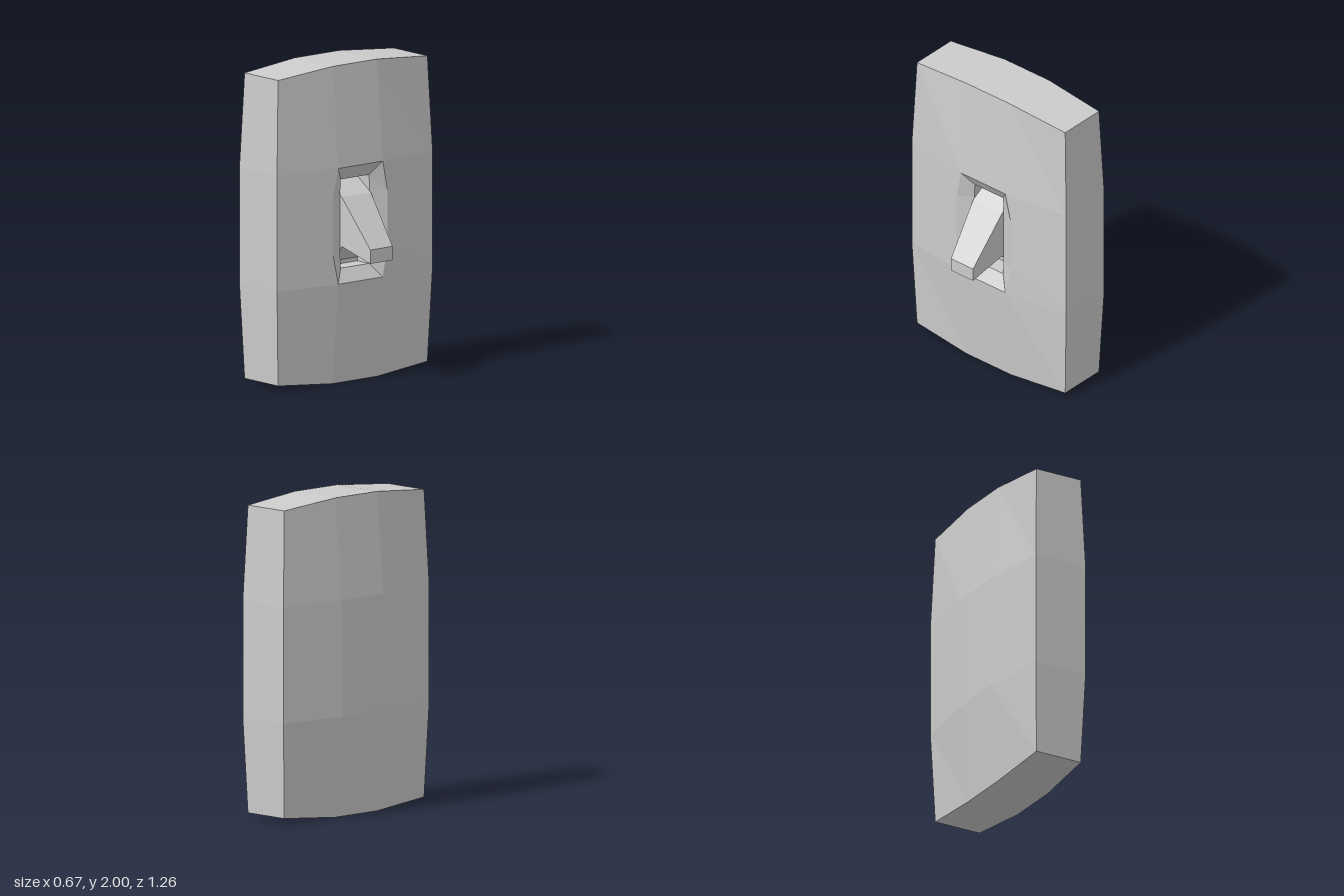
import * as THREE from 'three';

const material = () => new THREE.MeshStandardMaterial({ color: 0xcccccc, flatShading: true });

// Builds a flat-shaded mesh from polygons, each fanned from its first corner
function polyMesh(name, polygons) {
  const pos = [];
  for (const p of polygons)
    for (let k = 1; k < p.length - 1; k++) pos.push(...p[0], ...p[k], ...p[k + 1]);
  const geo = new THREE.BufferGeometry();
  geo.setAttribute('position', new THREE.Float32BufferAttribute(pos, 3));
  geo.computeVertexNormals();
  const mesh = new THREE.Mesh(geo, material());
  mesh.name = name;
  return mesh;
}

// Quads joining two closed loops of equal length
const strip = (a, b) => a.map((p, k) => {
  const n = (k + 1) % a.length;
  return [p, a[n], b[n], b[k]];
});

// Point on the bulging 4 x 4 grid; i runs up, j along z, side is +1 or -1 in x
function gridPoint(i, j, side) {
  const edgeI = i % 3 === 0, edgeJ = j % 3 === 0;
  const y = edgeI ? (edgeJ ? 0.963 : 1) : 0.365;
  const z = edgeJ ? (edgeI ? 0.605 : 0.63) : 0.18;
  const half = edgeI && edgeJ ? 0.16 : edgeI || edgeJ ? 0.18 : 0.235;
  return [-0.1 + side * half, 1 + (i < 2 ? -y : y), j < 2 ? -z : z];
}

// Eight-sided loop with bowed long sides
function holeLoop(x, xMid, yEnd, zEnd, yMid, zMid) {
  return [[-yEnd, -zEnd], [-yMid, -zMid], [yMid, -zMid], [yEnd, -zEnd],
    [yEnd, zEnd], [yMid, zMid], [-yMid, zMid], [-yEnd, zEnd]]
    .map(([y, z]) => [Math.abs(y) === yMid ? xMid : x, 1 + y, z]);
}

function createPlate() {
  const polys = [];
  const rim = holeLoop(0.135, 0.131, 0.365, 0.18, 0.18, 0.22);
  const throat = holeLoop(0.08, 0.08, 0.28, 0.115, 0.18, 0.12);
  const bottom = throat.map(([, y, z]) => [-0.03, y, z]);

  // Front and back panels, leaving the middle front cell open
  for (const side of [1, -1])
    for (let i = 0; i < 3; i++)
      for (let j = 0; j < 3; j++) {
        if (side === 1 && i === 1) continue;
        const q = [[i, j], [i + 1, j], [i + 1, j + 1], [i, j + 1]].map(([a, b]) => gridPoint(a, b, side));
        polys.push(side === 1 ? q : q.reverse());
      }

  // Panels beside the opening
  polys.push([gridPoint(1, 0, 1), gridPoint(2, 0, 1), rim[3], rim[2], rim[1], rim[0]]);
  polys.push([gridPoint(2, 3, 1), gridPoint(1, 3, 1), rim[7], rim[6], rim[5], rim[4]]);

  // Outer edge
  const border = [[0, 0], [1, 0], [2, 0], [3, 0], [3, 1], [3, 2], [3, 3], [2, 3], [1, 3], [0, 3], [0, 2], [0, 1]];
  const loop = (side) => border.map(([i, j]) => gridPoint(i, j, side));
  polys.push(...strip(loop(-1), loop(1)));

  // Bevel, walls and floor of the recess
  polys.push(...strip(rim, throat), ...strip(throat, bottom), bottom);
  return polyMesh('wallPlate', polys);
}

function createLever() {
  // Profile corners: x, y, half width
  const profile = [[-0.03, 1.26, 0.11], [0.095, 1.17, 0.118], [0.335, 0.87, 0.09],
    [0.335, 0.783, 0.09], [0.095, 0.858, 0.118], [-0.03, 0.745, 0.11]];
  const near = profile.map(([x, y, w]) => [x, y, w]);
  const far = profile.map(([x, y, w]) => [x, y, -w]);
  const polys = strip(near, far);
  // Cheeks of the base and of the arm
  for (const ids of [[0, 1, 4, 5], [1, 2, 3, 4]]) {
    polys.push(ids.map((k) => far[k]));
    polys.push(ids.map((k) => near[k]).reverse());
  }
  return polyMesh('toggleLever', polys);
}

export function createModel() {
  const group = new THREE.Group();
  group.name = 'toggleSwitch';
  group.add(createPlate(), createLever());
  return group;
}
